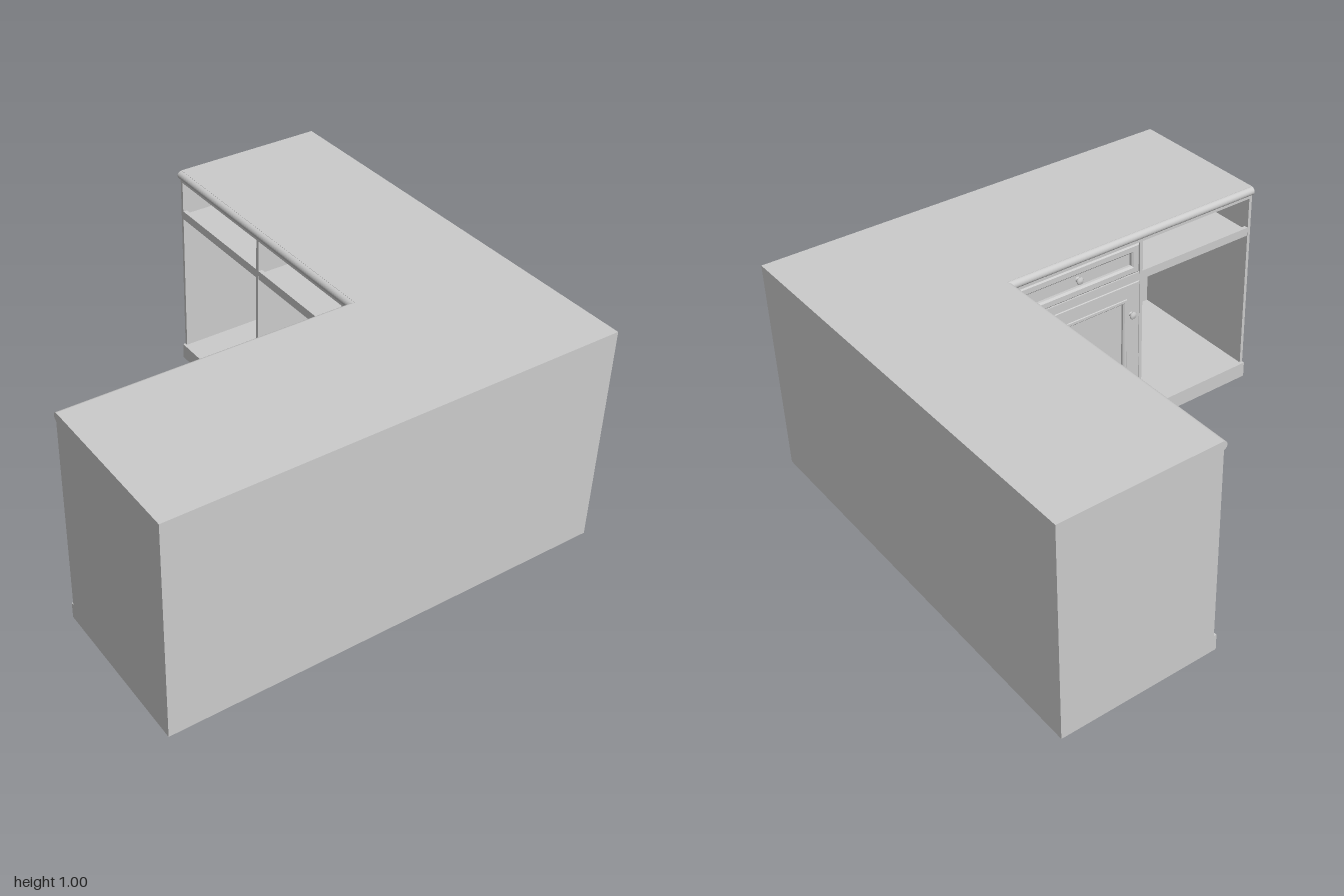
import * as THREE from 'three';

const MAT = new THREE.MeshStandardMaterial({ color: 0xcccccc });
const FACE = 0.29;   // cabinet face line on both arms
const T = 0.015;     // panel thickness

function add(parent, name, geo) {
  const m = new THREE.Mesh(geo, MAT);
  m.name = name;
  parent.add(m);
  return m;
}

// L-shaped slab between two heights; edge is the inner front line
function lSlab(edge, out, y0, y1) {
  const s = new THREE.Shape([
    [-out, edge], [edge, edge], [edge, -out], [out, -out], [out, out], [-out, out],
  ].map(([x, z]) => new THREE.Vector2(x, z)));
  const g = new THREE.ExtrudeGeometry(s, { depth: y1 - y0, bevelEnabled: false });
  return g.rotateX(Math.PI / 2).translate(0, y1, 0);
}

// Box on one arm: a runs along the arm, d from its open face to its back wall.
// swap = false is the arm along x, true the arm along z.
function armBox(parent, name, swap, [a0, a1], [y0, y1], [d0, d1]) {
  const a = a1 - a0, d = d1 - d0, am = (a0 + a1) / 2, dm = (d0 + d1) / 2;
  const g = new THREE.BoxGeometry(swap ? d : a, y1 - y0, swap ? a : d);
  g.translate(swap ? dm : am, (y0 + y1) / 2, swap ? am : dm);
  add(parent, name, g);
}

// Rounded front edge of the countertop
function nosing(swap) {
  const s = new THREE.Shape();
  s.moveTo(0.3, 0.96);
  s.lineTo(0.3, 0.999);
  s.lineTo(0.295, 0.999);
  s.absarc(0.2945, 0.9795, 0.0195, Math.PI / 2, Math.PI * 1.5, false);
  const g = new THREE.ExtrudeGeometry(s, { depth: 1.3, bevelEnabled: false, curveSegments: 8 });
  return swap ? g.translate(0, 0, -1) : g.translate(0, 0, -0.3).rotateY(-Math.PI / 2);
}

function rect(path, x0, x1, y0, y1) {
  path.moveTo(x0, y0);
  path.lineTo(x1, y0);
  path.lineTo(x1, y1);
  path.lineTo(x0, y1);
  path.closePath();
  return path;
}

// Picture-frame moulding with sloped edges, its front at z
function frame(x0, x1, y0, y1, w, z, depth, bevel) {
  const b = bevel;
  const s = rect(new THREE.Shape(), x0 + b, x1 - b, y0 + b, y1 - b);
  s.holes.push(rect(new THREE.Path(), x0 + w - b, x1 - w + b, y0 + w - b, y1 - w + b));
  const g = new THREE.ExtrudeGeometry(s, {
    depth: depth - 2 * b, bevelThickness: b, bevelSize: b, bevelSegments: 1,
  });
  return g.translate(0, 0, z + b);
}

// Knob pointing to -z, starting at z
function knob(x, y, z) {
  const pts = [[0.012, 0], [0.008, 0.003], [0.007, 0.01], [0.015, 0.014],
    [0.018, 0.019], [0.014, 0.024], [0, 0.026]].map(p => new THREE.Vector2(...p));
  return new THREE.LatheGeometry(pts, 20).rotateX(-Math.PI / 2).translate(x, y, z);
}

export function createModel() {
  const model = new THREE.Group();
  model.name = 'cornerCabinet';

  // Plinth with cabinet floor, drawer shelf and countertop
  add(model, 'plinth', lSlab(0.277, 1, 0, 0.075));
  add(model, 'shelf', lSlab(FACE + 0.005, 0.99, 0.765, 0.785));
  add(model, 'countertop', lSlab(0.2945, 1, 0.96, 1));

  // Both arms share the same carcass
  for (const swap of [false, true]) {
    const arm = new THREE.Group();
    arm.name = swap ? 'sideArm' : 'frontArm';
    model.add(arm);
    const box = (name, a, y, d) => armBox(arm, name, swap, a, y, d);

    add(arm, 'countertopNosing', nosing(swap));
    box('backWall', [-1, 1], [0.07, 0.965], [1 - T, 1]);
    box('endPanel', [-1, -1 + T], [0.07, 0.965], [FACE, 1]);
    box('divider', [-0.39, -0.374], [0.07, 0.965], [FACE, 0.99]);
    box('cornerPost', [swap ? 0.215 : 0.25, 0.305], [0.07, 0.965], [FACE, 0.305]);
    box('topRail', [-1 + T, 0.29], [0.945, 0.965], [FACE, 0.31]);
    box('middleRail', [-1 + T, 0.29], [0.76, 0.8], [FACE + 0.001, 0.31]);
  }

  // Drawer closing the bay beside the inner corner
  const drawer = new THREE.Group();
  drawer.name = 'drawer';
  model.add(drawer);
  add(drawer, 'drawerFrame', frame(-0.372, 0.25, 0.803, 0.945, 0.04, 0.287, 0.028, 0.008));
  add(drawer, 'drawerPanel', new THREE.BoxGeometry(0.6, 0.13, 0.015).translate(-0.061, 0.874, 0.3145));
  add(drawer, 'drawerKnob', knob(-0.06, 0.874, 0.307));

  // Panelled door below it
  const door = new THREE.Group();
  door.name = 'door';
  model.add(door);
  add(door, 'doorFrame', frame(-0.372, 0.25, 0.085, 0.76, 0.07, 0.287, 0.025, 0.003));
  add(door, 'doorBead', frame(-0.308, 0.186, 0.149, 0.696, 0.024, 0.284, 0.025, 0.006));
  add(door, 'doorPanel', new THREE.BoxGeometry(0.5, 0.56, 0.012).translate(-0.061, 0.4225, 0.306));
  add(door, 'doorKnob', knob(-0.325, 0.61, 0.288));

  return model;
}
